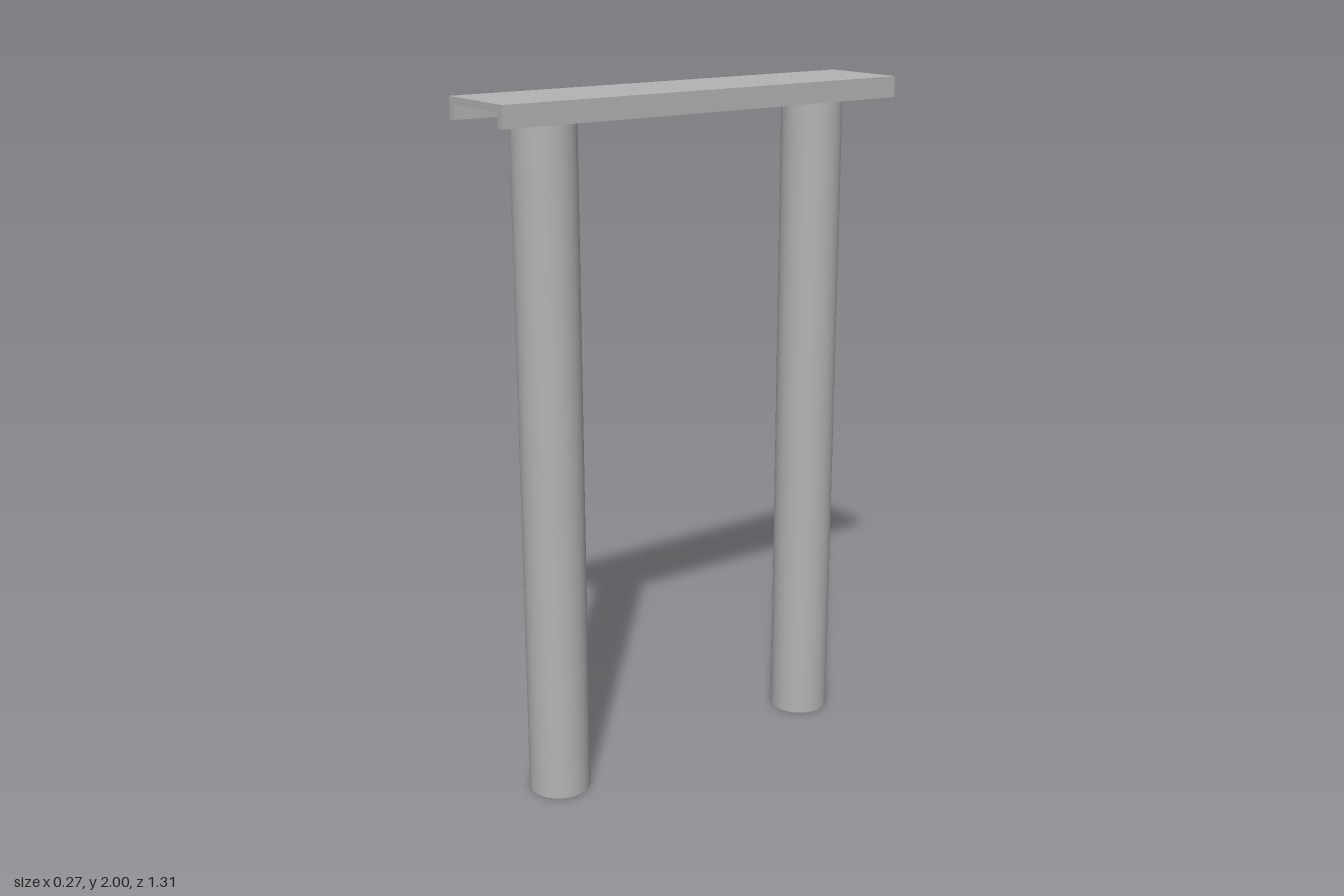
import * as THREE from 'three';

export function createModel() {
  const group = new THREE.Group();
  const steel = new THREE.MeshStandardMaterial({ color: 0xb4b4b4 });
  const openSteel = steel.clone();
  openSteel.side = THREE.DoubleSide;

  // Inverted channel rail: top web with two short flanges
  const w = 0.135, web = 0.02, flange = 0.022, bottom = 1.94, length = 1.31;
  const profile = new THREE.Shape([
    [-w, bottom], [-w + flange, bottom], [-w + flange, 2 - web],
    [w - flange, 2 - web], [w - flange, bottom], [w, bottom], [w, 2], [-w, 2],
  ].map(([x, y]) => new THREE.Vector2(x, y)));
  const railGeometry = new THREE.ExtrudeGeometry(profile, { depth: length, bevelEnabled: false });
  railGeometry.translate(0, 0, -length / 2);
  const rail = new THREE.Mesh(railGeometry, steel);
  rail.name = 'channelRail';
  group.add(rail);

  // Two hollow posts, open at the foot
  const height = 2 - web;
  const postGeometry = new THREE.CylinderGeometry(0.089, 0.089, height, 48, 1, true);
  for (const [name, z] of [['frontPost', 0.456], ['backPost', -0.456]]) {
    const post = new THREE.Mesh(postGeometry, openSteel);
    post.name = name;
    post.position.set(0, height / 2, z);
    group.add(post);
  }
  return group;
}
